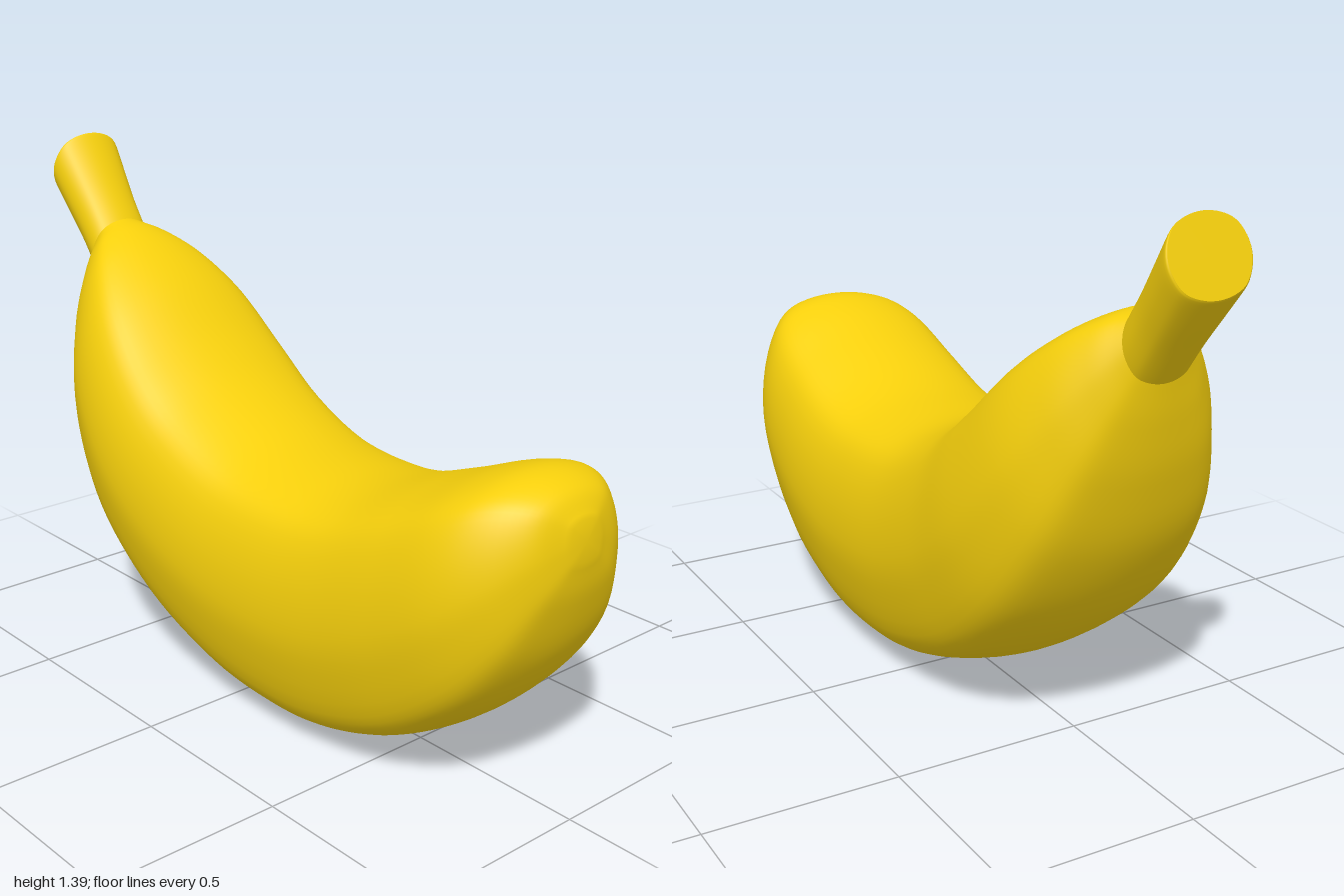
import * as THREE from 'three';

// Half cross-section from underside to top: two soft ridges on each side
const HALF = [[0, -1], [0.4, -0.955], [0.7, -0.85], [0.84, -0.7], [0.96, -0.32], [1, 0],
  [0.95, 0.4], [0.82, 0.72], [0.66, 0.86], [0.35, 0.965], [0, 1]];
const RING = 64;

function makeRing() {
  const mirrored = HALF.slice(1, -1).reverse().map(([x, y]) => [-x, y]);
  const curve = new THREE.CatmullRomCurve3(
    [...HALF, ...mirrored].map(([x, y]) => new THREE.Vector3(x, y, 0)), true, 'centripetal');
  return Array.from({ length: RING }, (_, j) => curve.getPoint(j / RING));
}

// Sections: [top z, top y, bottom z, bottom y, half width, roundness]
function loft(sections, stepsPerSection, capStart, capEnd) {
  const ring = makeRing();
  const top = new THREE.CatmullRomCurve3(
    sections.map(s => new THREE.Vector3(s[4], s[1], s[0])), false, 'catmullrom');
  const bottom = new THREE.CatmullRomCurve3(
    sections.map(s => new THREE.Vector3(s[5], s[3], s[2])), false, 'catmullrom');
  const rows = (sections.length - 1) * stepsPerSection;
  const pos = [], index = [];

  for (let i = 0; i <= rows; i++) {
    const t = top.getPoint(i / rows), b = bottom.getPoint(i / rows);
    for (const p of ring) {
      const len = Math.hypot(p.x, p.y);
      const k = 1 + (1 / len - 1) * b.x; // blend toward a circle
      const v = (p.y * k + 1) / 2;
      pos.push(p.x * k * t.x, b.y + (t.y - b.y) * v, b.z + (t.z - b.z) * v);
    }
  }
  for (let i = 0; i < rows; i++) {
    for (let j = 0; j < RING; j++) {
      const a = i * RING + j, b = i * RING + (j + 1) % RING;
      index.push(a, a + RING, b, b, a + RING, b + RING);
    }
  }

  // Soft cap shares its rim with the skin
  if (capStart) {
    const s = sections[0], c = pos.length / 3;
    pos.push(0, (s[1] + s[3]) / 2, (s[0] + s[2]) / 2 + 0.004);
    for (let j = 0; j < RING; j++) index.push(c, j, (j + 1) % RING);
  }
  // Crisp cap has its own rim
  if (capEnd) {
    const s = sections[sections.length - 1], first = pos.length / 3;
    pos.push(...pos.slice(rows * RING * 3, (rows + 1) * RING * 3));
    pos.push(0, (s[1] + s[3]) / 2, (s[0] + s[2]) / 2);
    for (let j = 0; j < RING; j++) index.push(first + RING, first + (j + 1) % RING, first + j);
  }

  const geometry = new THREE.BufferGeometry();
  geometry.setAttribute('position', new THREE.Float32BufferAttribute(pos, 3));
  geometry.setIndex(index);
  geometry.computeVertexNormals();
  return geometry;
}

export function createModel() {
  const group = new THREE.Group();
  group.name = 'banana';
  const skin = new THREE.MeshStandardMaterial({ color: 0xf5cf0c });

  // Curved fruit, from blossom tip to neck
  const body = new THREE.Mesh(loft([
    [0.99, 0.77, 1.0, 0.67, 0.05, 0],
    [0.945, 0.83, 0.98, 0.56, 0.15, 0],
    [0.86, 0.855, 0.92, 0.4, 0.238, 0],
    [0.76, 0.835, 0.8, 0.24, 0.295, 0],
    [0.6, 0.77, 0.62, 0.105, 0.319, 0],
    [0.4, 0.7, 0.42, 0.03, 0.327, 0],
    [0.22, 0.68, 0.22, 0.005, 0.33, 0],
    [0, 0.7, -0.04, 0.033, 0.334, 0],
    [-0.2, 0.78, -0.32, 0.142, 0.339, 0],
    [-0.35, 0.885, -0.55, 0.325, 0.336, 0],
    [-0.5, 1.02, -0.7, 0.54, 0.297, 0],
    [-0.62, 1.105, -0.775, 0.74, 0.228, 0],
    [-0.71, 1.15, -0.81, 0.89, 0.157, 0.2],
    [-0.775, 1.168, -0.828, 1.0, 0.095, 0.6],
  ], 6, true, false), skin);
  body.name = 'body';

  // Flared stem with a flat cut end
  const stem = new THREE.Mesh(loft([
    [-0.775, 1.168, -0.828, 1.0, 0.095, 0.6],
    [-0.83, 1.245, -0.885, 1.075, 0.097, 0.6],
    [-0.885, 1.325, -0.945, 1.15, 0.105, 0.6],
    [-0.93, 1.39, -0.992, 1.21, 0.112, 0.6],
    [-0.938, 1.4, -1.0, 1.222, 0.108, 0.6],
  ], 4, false, true), skin);
  stem.name = 'stem';

  group.add(body, stem);
  return group;
}
